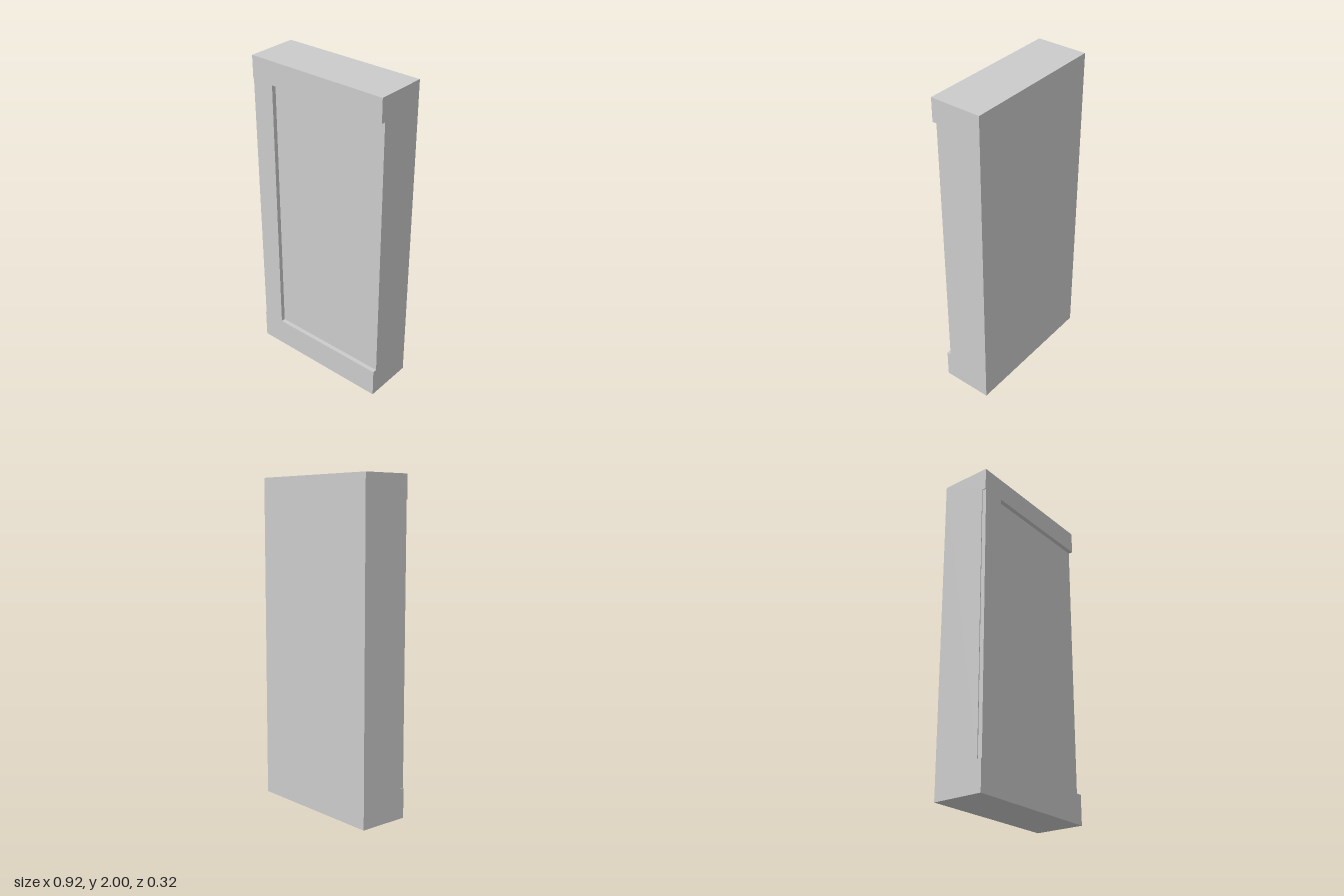
import * as THREE from 'three';

const HALF_W = 0.458, HALF_D = 0.159, HEIGHT = 2;
const PANEL_Z = 0.132, PANEL_BOTTOM = 0.183, PANEL_TOP = 1.857;
const STILE_OUTER = -0.453, STILE_INNER = -0.312;

export function createModel() {
  const model = new THREE.Group();
  model.name = 'panelledBlock';
  const material = new THREE.MeshStandardMaterial({ color: 0xcccccc, flatShading: true });

  // Block with bottom and top rails: side profile (z, y) extruded across the width
  const profile = new THREE.Shape([
    [-HALF_D, 0], [HALF_D, 0], [HALF_D, PANEL_BOTTOM], [PANEL_Z, PANEL_BOTTOM],
    [PANEL_Z, PANEL_TOP], [HALF_D, PANEL_TOP], [HALF_D, HEIGHT], [-HALF_D, HEIGHT],
  ].map(([z, y]) => new THREE.Vector2(z, y)));
  const bodyGeometry = new THREE.ExtrudeGeometry(profile, { depth: HALF_W * 2, bevelEnabled: false });
  bodyGeometry.rotateY(-Math.PI / 2).translate(HALF_W, 0, 0);
  const body = new THREE.Mesh(bodyGeometry, material);
  body.name = 'bodyWithRails';
  model.add(body);

  // Upright stile between the rails, set in slightly from the side; the other side stays open
  const stile = new THREE.Mesh(
    new THREE.BoxGeometry(STILE_INNER - STILE_OUTER, PANEL_TOP - PANEL_BOTTOM, HALF_D - PANEL_Z),
    material
  );
  stile.name = 'rightStile';
  stile.position.set((STILE_INNER + STILE_OUTER) / 2, (PANEL_TOP + PANEL_BOTTOM) / 2, (HALF_D + PANEL_Z) / 2);
  model.add(stile);

  return model;
}
